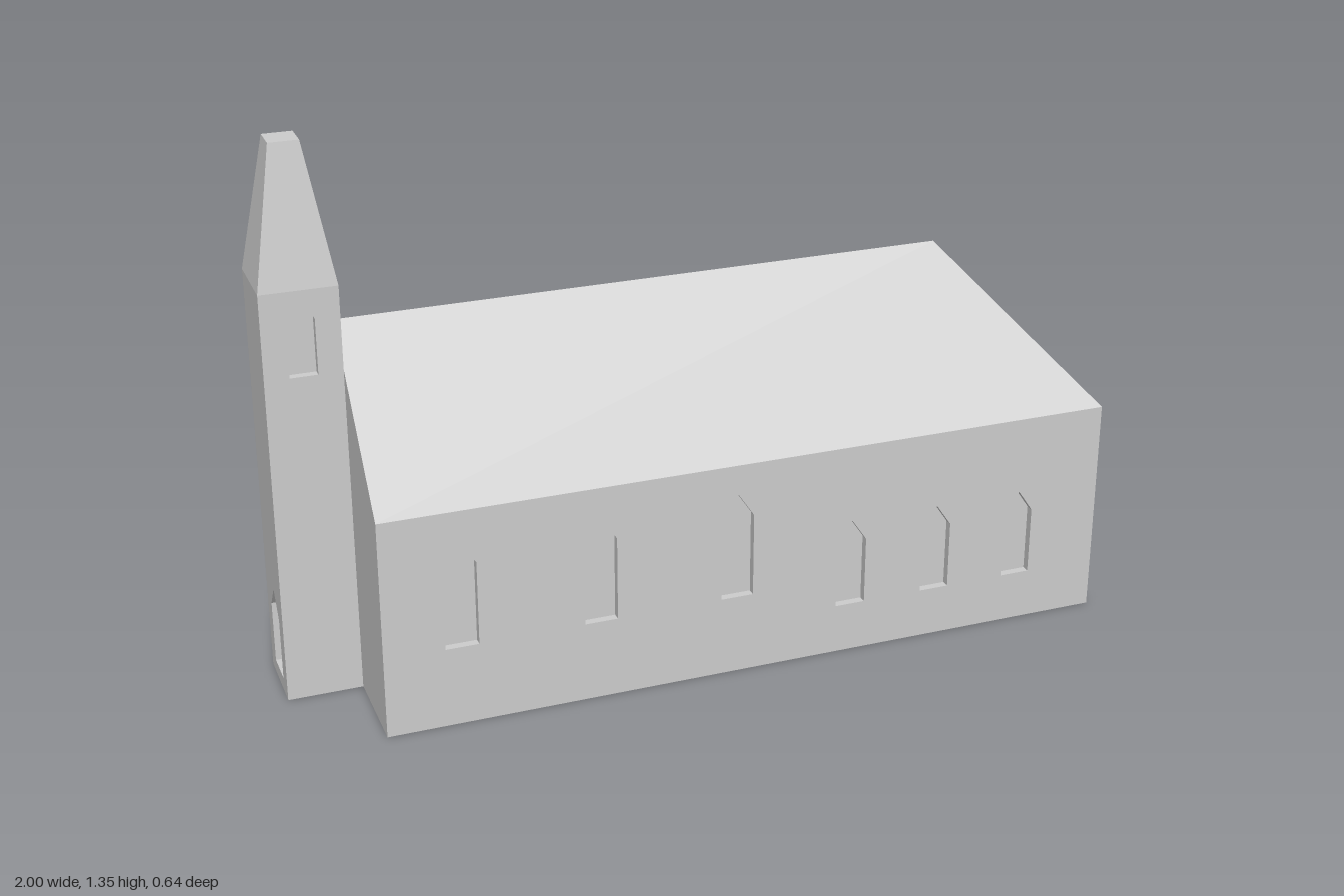
import * as THREE from 'three';

const stone = new THREE.MeshStandardMaterial({ color: 0xcccccc });
stone.name = 'stone';

const RECESS = 0.02;
const nave = { x0: -0.82, x1: 1, half: 0.32, eave: 0.545, ridge: 0.91, hipX: 0.68 };
const tower = { x: -0.91, z: -0.01, half: 0.09, wall: 1.02, top: 1.345, topHalf: 0.035 };

function add(parent, geometry, name) {
  const mesh = new THREE.Mesh(geometry, stone);
  mesh.name = name;
  parent.add(mesh);
  return mesh;
}

// Box given by its minimum and maximum corners
function block(parent, name, x0, x1, y0, y1, z0, z1) {
  const mesh = add(parent, new THREE.BoxGeometry(x1 - x0, y1 - y0, z1 - z0), name);
  mesh.position.set((x0 + x1) / 2, (y0 + y1) / 2, (z0 + z1) / 2);
}

// Wall skin pierced by pointed openings [centre, width, sill, shoulder, tip]
function wallPanel(parent, name, x0, x1, height, openings) {
  const shape = new THREE.Shape([[x0, 0], [x1, 0], [x1, height], [x0, height]]
    .map(([x, y]) => new THREE.Vector2(x, y)));
  for (const [c, w, sill, shoulder, tip] of openings) {
    const outline = [[c - w / 2, sill], [c - w / 2, shoulder], [c, tip],
      [c + w / 2, shoulder], [c + w / 2, sill]];
    shape.holes.push(new THREE.Path(outline.map(([x, y]) => new THREE.Vector2(x, y))));
  }
  return add(parent, new THREE.ExtrudeGeometry(shape, { depth: RECESS, bevelEnabled: false }), name);
}

const mirrored = (openings) => openings.map(([c, ...rest]) => [-c, ...rest]);

function buildNave() {
  const group = new THREE.Group();
  group.name = 'nave';
  const { x0, x1, half, eave, ridge, hipX } = nave;
  block(group, 'naveCore', x0, x1, 0, eave, -half + RECESS, half - RECESS);

  // Three tall and three short windows on each long side
  const windows = [
    ...[-0.635, -0.3, 0.04].map((x) => [x, 0.08, 0.2, 0.41, 0.47]),
    ...[0.335, 0.56, 0.785].map((x) => [x, 0.075, 0.125, 0.295, 0.35]),
  ];
  wallPanel(group, 'frontWall', x0, x1, eave, windows).position.z = half - RECESS;
  const back = wallPanel(group, 'backWall', -x1, -x0, eave, mirrored(windows));
  back.rotation.y = Math.PI;
  back.position.z = -half + RECESS;

  // Roof: gable at the tower end, hip at the other
  const a = [x0, eave, half], b = [x1, eave, half], c = [x1, eave, -half], d = [x0, eave, -half];
  const r = [x0, ridge, 0], h = [hipX, ridge, 0];
  const roof = new THREE.BufferGeometry();
  const corners = [a, b, h, a, h, r, b, c, h, c, d, r, c, r, h, d, a, r];
  roof.setAttribute('position', new THREE.Float32BufferAttribute(corners.flat(), 3));
  roof.computeVertexNormals();
  add(group, roof, 'roof');
  return group;
}

function buildTower() {
  const group = new THREE.Group();
  group.name = 'tower';
  const { x, z, half, wall, top, topHalf } = tower;
  const inner = half - RECESS;
  block(group, 'towerCore', -inner, half, 0, wall, -inner, inner);

  // Belfry windows front and back
  const belfry = [[0, 0.065, 0.815, 0.95, 1.0]];
  for (const side of [1, -1]) {
    const panel = wallPanel(group, side > 0 ? 'towerFrontWall' : 'towerBackWall', -half, half, wall, belfry);
    panel.rotation.y = side > 0 ? 0 : Math.PI;
    panel.position.z = side * inner;
  }

  // Pointed doorway at the foot of the end wall
  const doorWall = wallPanel(group, 'doorWall', -inner, inner, wall, [[0, 0.09, 0.035, 0.19, 0.25]]);
  doorWall.rotation.y = -Math.PI / 2;
  doorWall.position.x = -inner;

  // Blunt four-sided spire
  const spire = new THREE.CylinderGeometry(topHalf * Math.SQRT2, half * Math.SQRT2, top - wall, 4)
    .rotateY(Math.PI / 4).toNonIndexed();
  spire.computeVertexNormals();
  add(group, spire, 'spire').position.y = (top + wall) / 2;

  group.position.set(x, 0, z);
  return group;
}

export function createModel() {
  const model = new THREE.Group();
  model.name = 'church';
  model.add(buildNave(), buildTower());
  return model;
}
